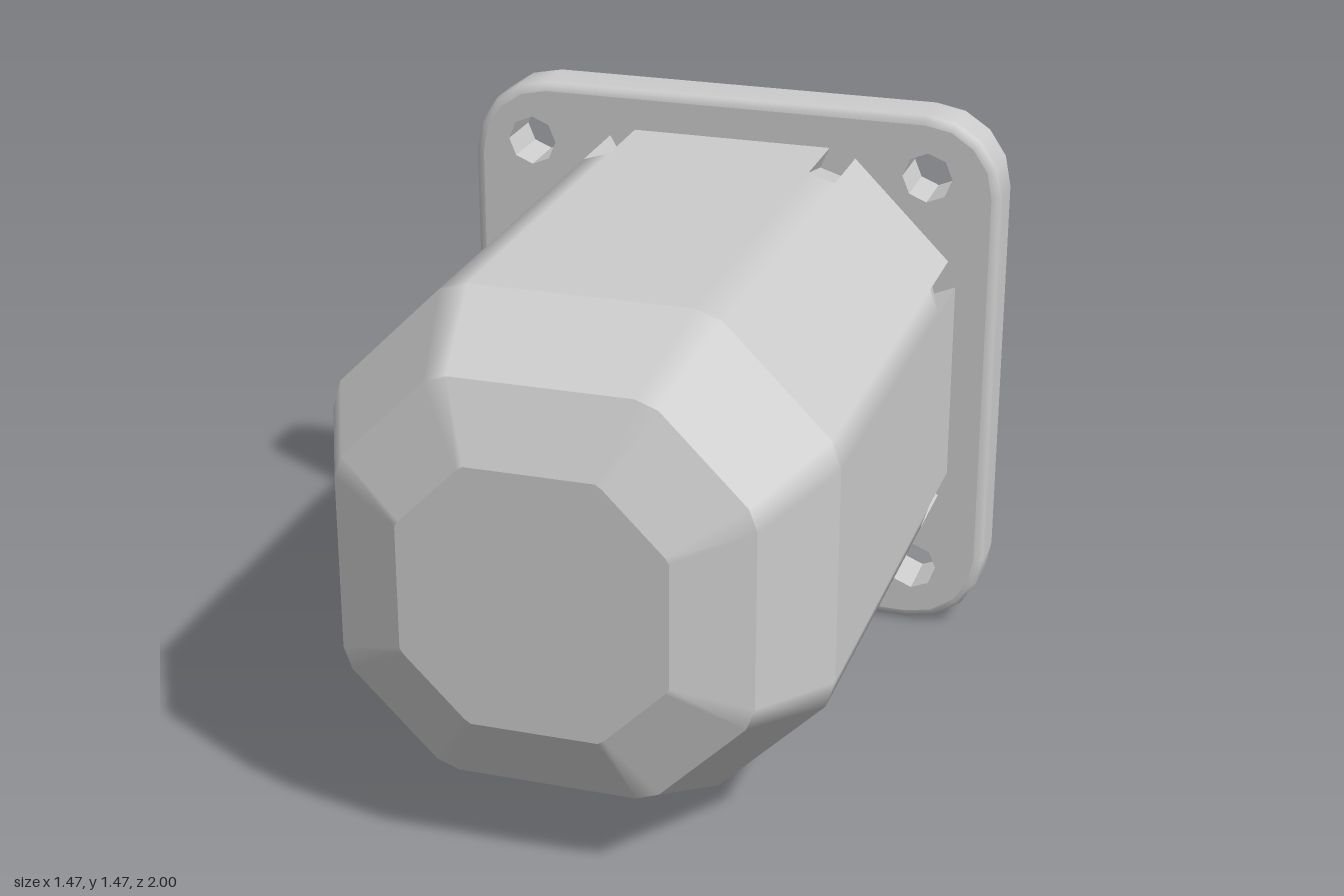
import * as THREE from 'three';
import { mergeVertices } from 'three/addons/utils/BufferGeometryUtils.js';

const CY = 0.737; // height of the motor axis
const grey = (opts = {}) => new THREE.MeshStandardMaterial({ color: 0xcccccc, ...opts });

// Sixteen-sided section: eight flats joined by narrow corner strips
function section([z, h, a, p, q]) {
  const ring = [];
  for (let k = 0; k < 4; k++) {
    for (const [x, y] of [[h, -a], [h, a], [p, q], [q, p]]) {
      const c = [1, 0, -1, 0][k], s = [0, 1, 0, -1][k];
      ring.push(new THREE.Vector3(x * c - y * s, x * s + y * c, z));
    }
  }
  return ring;
}

function bodyGeometry() {
  const pos = [], nor = [];
  const faceNormal = (a, b, c) => b.clone().sub(a).cross(c.clone().sub(a)).normalize();
  const tri = (pts, normals) => {
    const n = faceNormal(...pts);
    pts.forEach((p, i) => {
      pos.push(p.x, p.y, p.z);
      const m = normals ? normals[i] : n;
      nor.push(m.x, m.y, m.z);
    });
  };
  const quad = (a, b, c, d, n0, n1) => {
    tri([a, b, c], n0 && [n0, n1, n1]);
    tri([a, c, d], n0 && [n0, n1, n0]);
  };
  const rings = [
    [-0.59, 0.622, 0.27, 0.6, 0.34],
    [-0.37, 0.622, 0.27, 0.6, 0.34],
    [0.65, 0.622, 0.27, 0.6, 0.34],
    [0.92, 0.503, 0.22, 0.483, 0.275],
    [1.0, 0.325, 0.155, 0.315, 0.17],
  ].map(section);

  for (let r = 0; r < rings.length - 1; r++) {
    const lo = rings[r], hi = rings[r + 1];
    const flatNormal = (i) => faceNormal(lo[i % 16], lo[(i + 1) % 16], hi[(i + 1) % 16]);
    for (let i = 0; i < 16; i++) {
      const j = (i + 1) % 16;
      if (i % 2 === 0) {
        quad(lo[i], lo[j], hi[j], hi[i]);
      } else if (r > 0) {
        // corner strip, shaded smoothly from one flat to the next
        quad(lo[i], lo[j], hi[j], hi[i], flatNormal(i - 1), flatNormal(i + 1));
      } else {
        // corner notch sloping inward to the flange
        const inward = (v) => new THREE.Vector3(v.x * 0.91, v.y * 0.91, v.z);
        const a = inward(lo[i]), b = inward(lo[j]);
        quad(a, b, hi[j], hi[i]);
        tri([lo[i], a, hi[i]]);
        tri([lo[j], hi[j], b]);
      }
    }
  }
  // front face
  const front = rings[rings.length - 1], mid = new THREE.Vector3(0, 0, 1);
  front.forEach((p, i) => tri([mid, p, front[(i + 1) % 16]]));

  const g = new THREE.BufferGeometry();
  g.setAttribute('position', new THREE.Float32BufferAttribute(pos, 3));
  g.setAttribute('normal', new THREE.Float32BufferAttribute(nor, 3));
  return g;
}

// Rounded square outline, counterclockwise, drawn in by an inset
function outline(inset) {
  const half = 0.733, R = 0.21, steps = 4, pts = [];
  for (let k = 0; k < 4; k++) {
    const cx = (half - R) * [1, -1, -1, 1][k], cy = (half - R) * [1, 1, -1, -1][k];
    for (let s = 0; s <= steps; s++) {
      const t = (k + s / steps) * Math.PI / 2;
      pts.push(new THREE.Vector2(cx + (R - inset) * Math.cos(t), cy + (R - inset) * Math.sin(t)));
    }
  }
  return pts;
}

function flange() {
  const group = new THREE.Group();
  group.name = 'mountingFlange';
  const zBack = -0.742, zFront = -0.59, bevel = 0.026, holeR = 0.067;
  const holes = [];
  for (const x of [-0.565, 0.535]) for (const y of [-0.565, 0.565]) holes.push([x, y]);

  // rim with rounded edges
  const profile = [];
  for (let s = 0; s <= 3; s++) {
    const t = s / 3 * Math.PI / 2;
    profile.push([zBack + bevel * (1 - Math.cos(t)), bevel * (1 - Math.sin(t))]);
  }
  for (let s = 3; s >= 0; s--) profile.push([zFront + zBack - profile[s][0], profile[s][1]]);
  const pos = [], idx = [];
  const n = outline(0).length;
  profile.forEach(([z, inset], r) => {
    outline(inset).forEach((p, i) => {
      pos.push(p.x, p.y, z);
      if (r < profile.length - 1) {
        const a = r * n + i, b = r * n + (i + 1) % n;
        idx.push(a, b, b + n, a, b + n, a + n);
      }
    });
  });
  let rimGeo = new THREE.BufferGeometry();
  rimGeo.setAttribute('position', new THREE.Float32BufferAttribute(pos, 3));
  rimGeo.setIndex(idx);
  rimGeo = mergeVertices(rimGeo);
  rimGeo.computeVertexNormals();
  const rim = new THREE.Mesh(rimGeo, grey());
  rim.name = 'flangeRim';
  group.add(rim);

  // front and back plates with bolt holes
  const shape = new THREE.Shape(outline(bevel));
  for (const [x, y] of holes) {
    const pts = [];
    for (let i = 0; i < 8; i++) {
      const t = -i * Math.PI / 4;
      pts.push(new THREE.Vector2(x + holeR * Math.cos(t), y + holeR * Math.sin(t)));
    }
    shape.holes.push(new THREE.Path(pts));
  }
  for (const [name, z, turn] of [['flangeFront', zFront, false], ['flangeBack', zBack, true]]) {
    const geo = new THREE.ShapeGeometry(shape);
    if (turn) {
      // turn the plate over so it faces backward
      geo.setIndex(Array.from(geo.index.array).reverse());
      geo.computeVertexNormals();
    }
    const plate = new THREE.Mesh(geo, grey());
    plate.name = name;
    plate.position.z = z;
    group.add(plate);
  }

  // hole walls
  const wallGeo = new THREE.CylinderGeometry(holeR, holeR, zFront - zBack, 8, 1, true).rotateX(Math.PI / 2);
  for (const [x, y] of holes) {
    const wall = new THREE.Mesh(wallGeo, grey({ side: THREE.BackSide, flatShading: true }));
    wall.name = 'boltHole';
    wall.position.set(x, y, (zFront + zBack) / 2);
    group.add(wall);
  }
  return group;
}

export function createModel() {
  const model = new THREE.Group();
  model.name = 'motor';
  const assembly = new THREE.Group();
  assembly.name = 'motorAssembly';
  assembly.position.y = CY - 0.003;
  model.add(assembly);

  const body = new THREE.Mesh(bodyGeometry(), grey());
  body.name = 'motorBody';
  assembly.add(body, flange());

  // drive shaft with a softened tip
  const pts = [[0.066, 0], [0.066, 0.27], [0.062, 0.278], [0.053, 0.282], [0, 0.282]];
  const shaftGeo = new THREE.LatheGeometry(pts.map(([r, h]) => new THREE.Vector2(r, h)), 16);
  shaftGeo.rotateX(-Math.PI / 2);
  const shaft = new THREE.Mesh(shaftGeo, grey());
  shaft.name = 'driveShaft';
  shaft.position.set(0.005, 0, -0.718);
  assembly.add(shaft);
  return model;
}
